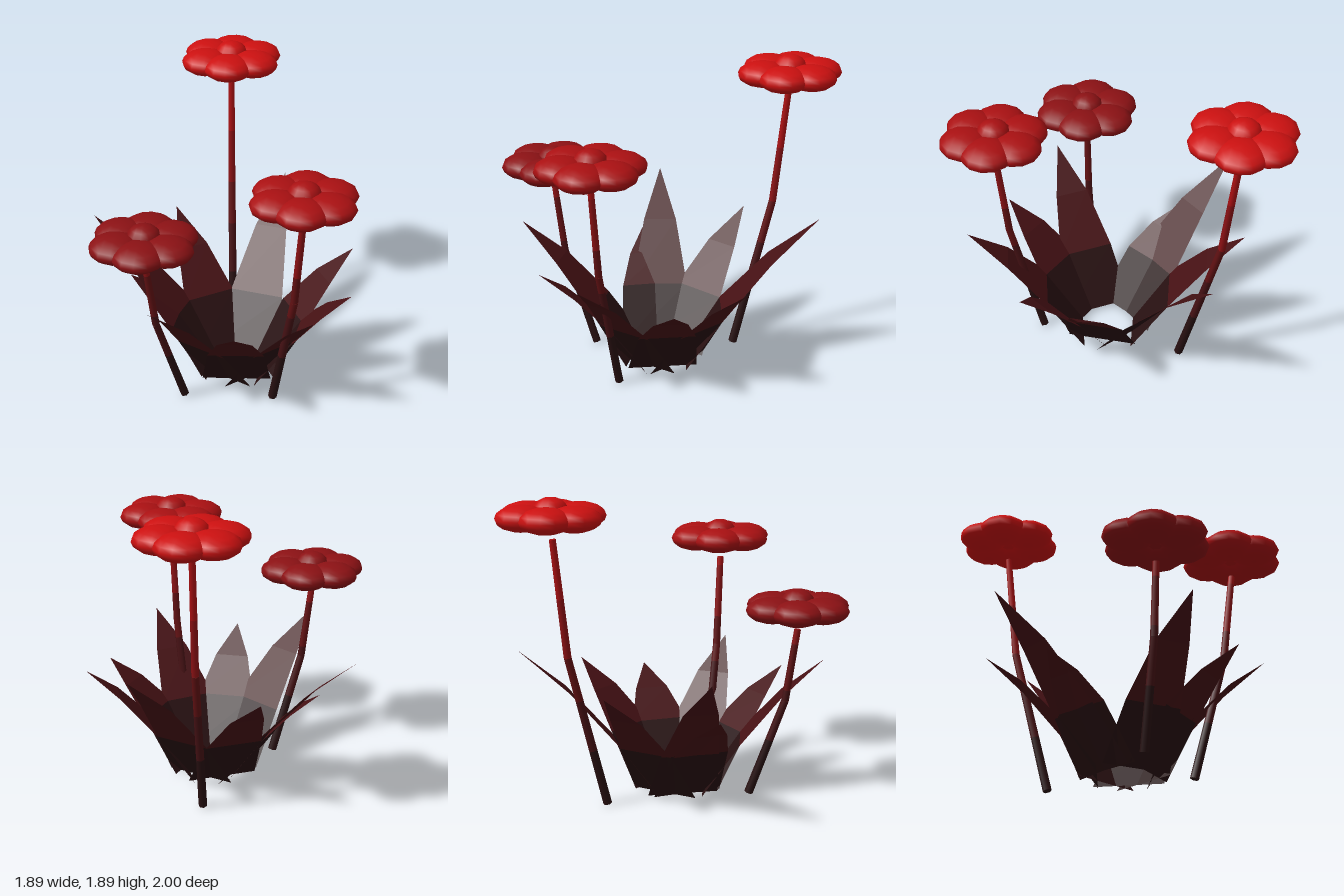
import * as THREE from 'three';

// Colours climb from near black at the ground to bright red at the top
const bands = [
  [0.36, 'darkest maroon', 0x281011],
  [0.68, 'dark maroon', 0x461114],
  [0.97, 'maroon', 0x621113],
  [1.30, 'deep red', 0x8c1114],
  [1.66, 'red', 0xaa1012],
  [9.00, 'bright red', 0xcc1010],
].map(([top, name, color]) => ({
  top,
  material: new THREE.MeshStandardMaterial({ name, color, side: THREE.DoubleSide }),
}));
const materialAt = (y) => bands.find((b) => y < b.top).material;

function addMesh(parent, name, geometry, material) {
  const mesh = new THREE.Mesh(geometry, material);
  mesh.name = name;
  parent.add(mesh);
  return mesh;
}

// Tapered six-sided rod between two points
function addRod(parent, a, b, ra, rb, material, openEnded) {
  const dir = b.clone().sub(a);
  const rod = addMesh(parent, 'stemSegment',
    new THREE.CylinderGeometry(rb, ra, dir.length(), 6, 1, openEnded), material);
  rod.position.copy(a).add(b).multiplyScalar(0.5);
  rod.quaternion.setFromUnitVectors(new THREE.Vector3(0, 1, 0), dir.normalize());
}

// Bent stem, cut where the colour changes
function makeStem(points) {
  const stem = new THREE.Group();
  stem.name = 'stem';
  const [foot, kink, top] = points.map((p) => new THREE.Vector3(...p));
  const parts = [[foot, kink, 0.027, 0.023], [kink, top, 0.023, 0.02]];
  for (const [a, b, ra, rb] of parts) {
    const at = (y) => (y - a.y) / (b.y - a.y);
    const cuts = [0, ...bands.map((s) => at(s.top)).filter((t) => t > 0.03 && t < 0.97), 1];
    for (let i = 0; i + 1 < cuts.length; i++) {
      const [s, t] = [cuts[i], cuts[i + 1]];
      const p = a.clone().lerp(b, s), q = a.clone().lerp(b, t);
      const r = (u) => ra + (rb - ra) * u;
      addRod(stem, p, q, r(s), r(t), materialAt((p.y + q.y) / 2), false);
    }
  }
  return stem;
}

// Six plump petals round a domed centre
function makeFlower(x, y, z) {
  const flower = new THREE.Group();
  flower.name = 'flower';
  flower.position.set(x, y, z);
  const material = materialAt(y);
  for (let i = 0; i < 6; i++) {
    const angle = (i * Math.PI) / 3;
    const petal = addMesh(flower, 'petal', new THREE.SphereGeometry(0.157, 12, 8), material);
    petal.scale.y = 0.48;
    petal.position.set(0.17 * Math.cos(angle), 0, 0.17 * Math.sin(angle));
  }
  const centre = addMesh(flower, 'flowerCentre', new THREE.SphereGeometry(0.1, 12, 8), material);
  centre.scale.y = 0.75;
  centre.position.y = 0.037;
  return flower;
}

// Flat strip through cross-sections [radius, height, half width]
function stripGeometry(sections, angle, cx, cz) {
  const c = Math.cos(angle), s = Math.sin(angle);
  const point = ([r, y, w], side) => [cx + r * c - side * w * s, y, cz + r * s + side * w * c];
  const positions = [];
  for (let i = 0; i + 1 < sections.length; i++) {
    const a = sections[i], b = sections[i + 1];
    positions.push(...point(a, -1), ...point(a, 1), ...point(b, 1));
    if (b[2] > 0) positions.push(...point(a, -1), ...point(b, 1), ...point(b, -1));
  }
  const geometry = new THREE.BufferGeometry();
  geometry.setAttribute('position', new THREE.Float32BufferAttribute(positions, 3));
  geometry.computeVertexNormals();
  return geometry;
}

// Leaf rising from the rosette to a pointed tip
function makeLeaf(x, y, z) {
  const leaf = new THREE.Group();
  leaf.name = 'leaf';
  const cx = -0.015, cz = -0.03;
  const angle = Math.atan2(z - cz, x - cx);
  const reach = Math.hypot(x - cx, z - cz);
  const base = [0.16, 0.02, 0.215];
  const mid = [0.385, 0.335, 0.175];
  const upper = [mid[0] + (reach - mid[0]) * 0.5, mid[1] + (y - mid[1]) * 0.57, 0.105];
  const tip = [reach, y, 0];
  addMesh(leaf, 'leafBase', stripGeometry([base, mid], angle, cx, cz), materialAt(0.2));
  addMesh(leaf, 'leafBlade', stripGeometry([mid, upper, tip], angle, cx, cz), materialAt(0.5));
  return leaf;
}

export function createModel() {
  const model = new THREE.Group();
  model.name = 'floweringPlant';

  // Leaf tips
  const tips = [
    [-0.31, 0.94, -0.96], [0.41, 0.72, -0.69], [0.65, 0.63, -0.31],
    [0.81, 0.79, 0.22], [0.43, 0.69, 0.60], [0.01, 0.84, 0.86],
    [-0.63, 0.61, 0.27], [-0.945, 0.92, 0.24], [-0.78, 0.78, -0.38],
  ];
  for (const tip of tips) model.add(makeLeaf(...tip));

  // Stems, each under its flower
  model.add(makeStem([[-0.345, 0.008, -0.425], [-0.505, 0.95, -0.625], [-0.557, 1.65, -0.69]]));
  model.add(makeStem([[0.367, 0.012, 0.117], [0.555, 0.79, 0.175], [0.617, 1.355, 0.193]]));
  model.add(makeStem([[-0.09, 0.012, 0.415], [-0.125, 0.615, 0.63], [-0.14, 1.06, 0.697]]));

  model.add(makeFlower(-0.56, 1.78, -0.695));
  model.add(makeFlower(0.617, 1.485, 0.19));
  model.add(makeFlower(-0.14, 1.19, 0.695));
  return model;
}
